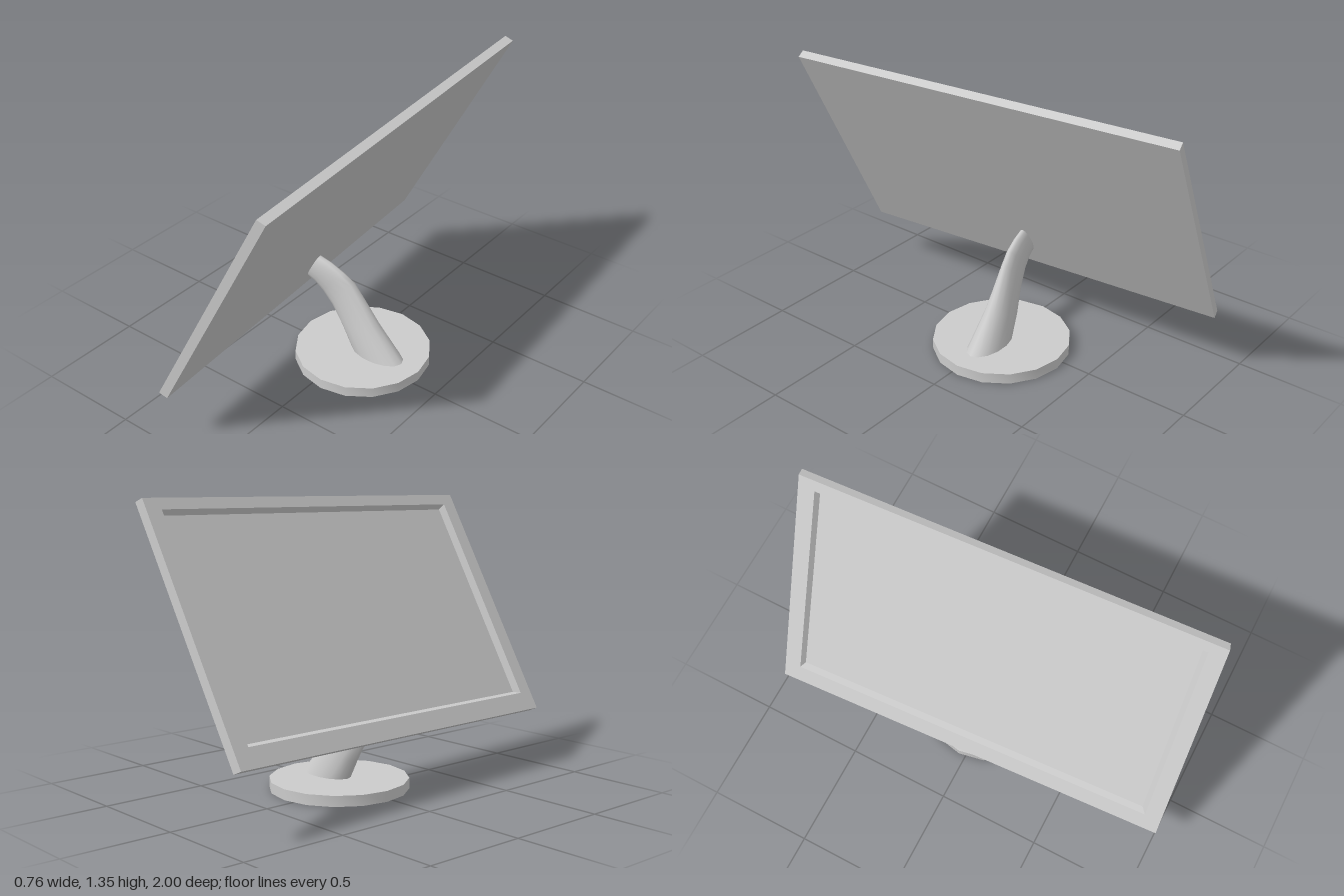
import * as THREE from 'three';
import { mergeVertices, toCreasedNormals } from 'three/addons/utils/BufferGeometryUtils.js';

// Skin a list of equal-sized point rings with quads, optionally closing quad ends.
function loft(rings, capped) {
  const pos = [];
  const tri = (...pts) => pts.forEach((p) => pos.push(p.x, p.y, p.z));
  for (let k = 0; k < rings.length - 1; k++) {
    const r = rings[k], s = rings[k + 1];
    for (let i = 0; i < r.length; i++) {
      const j = (i + 1) % r.length;
      tri(r[i], s[i], s[j], r[i], s[j], r[j]);
    }
  }
  if (capped) {
    const [a, b, c, d] = rings[0];
    tri(a, b, c, a, c, d);
    const [e, f, g, h] = rings[rings.length - 1];
    tri(e, g, f, e, h, g);
  }
  const geo = new THREE.BufferGeometry();
  geo.setAttribute('position', new THREE.Float32BufferAttribute(pos, 3));
  geo.computeVertexNormals();
  return geo;
}

export function createModel() {
  const group = new THREE.Group();
  const material = new THREE.MeshStandardMaterial({ color: 0xcccccc });
  const add = (name, geo, mat = material) => {
    const mesh = new THREE.Mesh(geo, mat);
    mesh.name = name;
    group.add(mesh);
  };

  // Tilted panel: corner plus width, height and thickness directions
  const corner = new THREE.Vector3(0.162, 1.354, -0.99);
  const W = new THREE.Vector3(0.129, -0.036, 1.92);
  const H = new THREE.Vector3(-0.546, -1.038, 0.07);
  const T = new THREE.Vector3(0.037, -0.018, -0.009);
  const panelRing = (u, v0, v1, t) =>
    [[u, v0], [1 - u, v0], [1 - u, v1], [u, v1]].map(([a, b]) =>
      corner.clone().addScaledVector(W, a).addScaledVector(H, b).addScaledVector(T, t));
  add('screenPanel', loft([
    panelRing(0, 0, 1, 1), // back
    panelRing(0, 0, 1, 0), // front edge
    panelRing(0.04, 0.045, 0.924, 0), // bezel opening
    panelRing(0.05, 0.06, 0.91, 0.6), // recessed screen
  ], true));

  // Curved neck: each section has a lower and upper point (x, y), z centre, z half-width
  const sections = [
    [0.0, 0.05, 0.283, 0.05, -0.033, 0.078],
    [-0.05, 0.142, 0.147, 0.21, -0.028, 0.06],
    [-0.105, 0.237, 0.014, 0.406, -0.015, 0.038],
    [-0.155, 0.308, -0.04, 0.45, -0.002, 0.033],
    [-0.2, 0.35, -0.105, 0.485, 0.007, 0.03],
    [-0.245, 0.375, -0.165, 0.505, 0.014, 0.028],
  ];
  const sides = 14;
  const neckRings = sections.map(([x0, y0, x1, y1, z, hz]) =>
    Array.from({ length: sides }, (_, i) => {
      const a = (i / sides) * Math.PI * 2, f = 0.5 + 0.5 * Math.cos(a);
      return new THREE.Vector3(x0 + (x1 - x0) * f, y0 + (y1 - y0) * f, z + hz * Math.sin(a));
    }));
  const neck = loft(neckRings, false);
  neck.deleteAttribute('normal');
  const smoothNeck = mergeVertices(neck);
  smoothNeck.computeVertexNormals();
  const neckMaterial = material.clone();
  neckMaterial.side = THREE.DoubleSide;
  add('neck', smoothNeck, neckMaterial);

  // Sixteen-sided base disc with an opening under the hollow neck
  const disc = new THREE.Shape(Array.from({ length: 16 }, (_, i) => {
    const a = (i / 16) * Math.PI * 2;
    return new THREE.Vector2(0.054 + 0.325 * Math.cos(a), 0.035 + 0.325 * Math.sin(a));
  }));
  disc.holes.push(new THREE.Path(neckRings[0].map((p) => new THREE.Vector2(p.x, -p.z))));
  const base = new THREE.ExtrudeGeometry(disc, { depth: 0.05, bevelEnabled: false });
  base.rotateX(-Math.PI / 2);
  add('base', toCreasedNormals(base, 0.6));

  return group;
}
